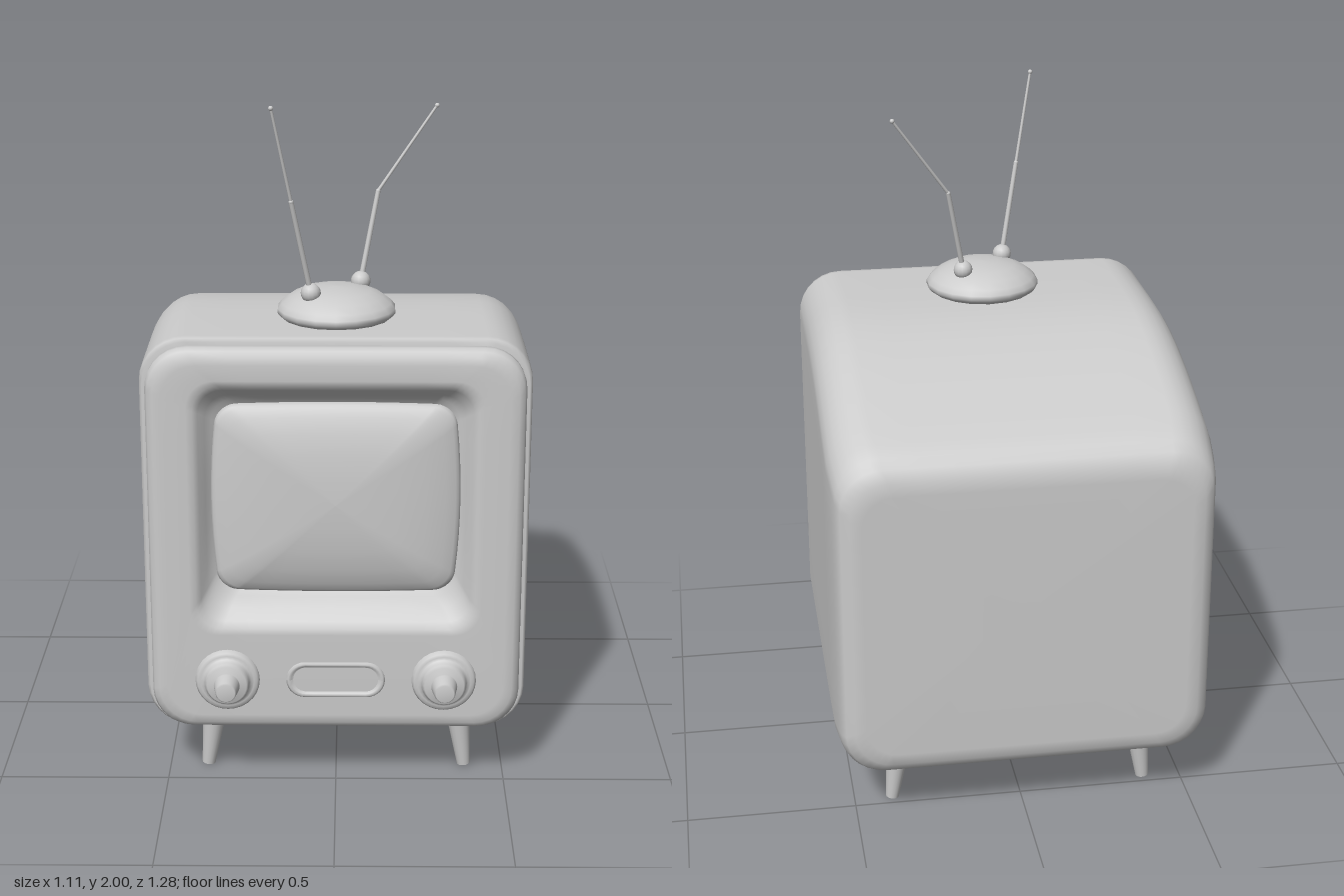
import * as THREE from 'three';

const material = new THREE.MeshStandardMaterial({ color: 0xcccccc });

function add(parent, geometry, name) {
  const mesh = new THREE.Mesh(geometry, material);
  mesh.name = name;
  parent.add(mesh);
  return mesh;
}

// Rounded rectangle in the xy plane, counter-clockwise; bulge bows the sides outward
function ring([z, hw, y0, y1, r, bulge = 0]) {
  const hh = (y1 - y0) / 2, cy = (y0 + y1) / 2, arc = 7, side = 8;
  const corners = [[1, 1], [-1, 1], [-1, -1], [1, -1]];
  const pts = [];
  corners.forEach(([sx, sy], q) => {
    for (let i = 0; i <= arc; i++) {
      const a = (q + i / arc) * Math.PI / 2;
      pts.push([sx * (hw - r) + r * Math.cos(a), sy * (hh - r) + r * Math.sin(a)]);
    }
    const [nx, ny] = corners[(q + 1) % 4], a = (q + 1) * Math.PI / 2;
    const end = [nx * (hw - r) + r * Math.cos(a), ny * (hh - r) + r * Math.sin(a)];
    const start = pts[pts.length - 1];
    for (let i = 1; i < side; i++) {
      const t = i / side;
      pts.push([start[0] + (end[0] - start[0]) * t, start[1] + (end[1] - start[1]) * t]);
    }
  });
  return pts.map(([x, y]) => {
    const u = hw ? x / hw : 0, v = hh ? y / hh : 0;
    return [x * (1 + bulge * (1 - v * v)), cy + y * (1 + bulge * 0.5 * (1 - u * u)), z];
  });
}

// Skin through rings listed from back to front (or from outside to inside)
function loft(specs) {
  const rings = specs.map(ring), n = rings[0].length, index = [];
  for (let i = 0; i < rings.length - 1; i++) {
    for (let j = 0; j < n; j++) {
      const k = (j + 1) % n, a = i * n + j, b = i * n + k;
      index.push(a, b, a + n, b, b + n, a + n);
    }
  }
  const g = new THREE.BufferGeometry();
  g.setAttribute('position', new THREE.Float32BufferAttribute(rings.flat(2), 3));
  g.setIndex(index);
  g.computeVertexNormals();
  return g;
}

function lathe(points, segments) {
  return new THREE.LatheGeometry(points.map(p => new THREE.Vector2(...p)), segments);
}

// Tapered round bar between two points
function bar(parent, from, to, r0, r1, name, sides = 8) {
  const a = new THREE.Vector3(...from), b = new THREE.Vector3(...to);
  const dir = b.clone().sub(a);
  const mesh = add(parent, new THREE.CylinderGeometry(r1, r0, dir.length(), sides), name);
  mesh.position.copy(a).add(b).multiplyScalar(0.5);
  mesh.quaternion.setFromUnitVectors(new THREE.Vector3(0, 1, 0), dir.normalize());
  return mesh;
}

function ball(parent, position, r, name) {
  add(parent, new THREE.SphereGeometry(r, 14, 10), name).position.set(...position);
}

export function createModel() {
  const model = new THREE.Group();
  model.name = 'television';

  // Cabinet with a roof that slopes down to the back
  add(model, loft([
    [-0.64, 0, 0.68, 0.68, 0],
    [-0.64, 0.47, 0.25, 1.07, 0.09],
    [-0.635, 0.505, 0.215, 1.11, 0.11],
    [-0.62, 0.53, 0.19, 1.145, 0.12],
    [-0.595, 0.542, 0.175, 1.17, 0.13],
    [-0.55, 0.548, 0.167, 1.193, 0.13],
    [-0.48, 0.555, 0.165, 1.22, 0.13],
    [-0.36, 0.556, 0.165, 1.263, 0.13],
    [-0.24, 0.556, 0.165, 1.301, 0.13],
    [-0.12, 0.556, 0.165, 1.332, 0.13],
    [-0.02, 0.556, 0.165, 1.35, 0.13],
    [0.08, 0.556, 0.165, 1.36, 0.13],
    [0.2, 0.556, 0.165, 1.363, 0.13],
    [0.46, 0.556, 0.165, 1.363, 0.13],
    [0.48, 0.554, 0.167, 1.361, 0.13],
    [0.49, 0.546, 0.175, 1.353, 0.125],
    [0.49, 0.5, 0.22, 1.31, 0.1],
  ]), 'cabinet');

  // Front panel with rounded rim and sloping screen recess
  add(model, loft([
    [0.485, 0.528, 0.19, 1.337, 0.115],
    [0.495, 0.536, 0.182, 1.345, 0.12],
    [0.515, 0.536, 0.182, 1.345, 0.12],
    [0.531, 0.529, 0.19, 1.338, 0.118],
    [0.541, 0.514, 0.205, 1.323, 0.11],
    [0.545, 0.49, 0.23, 1.3, 0.1],
    [0.545, 0.42, 0.485, 1.255, 0.08],
    [0.541, 0.402, 0.503, 1.24, 0.075],
    [0.53, 0.388, 0.522, 1.225, 0.07],
    [0.505, 0.368, 0.555, 1.203, 0.065, 0.01],
    [0.49, 0.348, 0.588, 1.186, 0.06, 0.03],
    [0.478, 0.33, 0.61, 1.165, 0.06, 0.05],
  ]), 'frontPanel');

  // Bulging picture tube
  const screen = [[0.47, 1.0], [0.488, 1.0], [0.497, 0.985], [0.503, 0.96], [0.515, 0.88],
    [0.53, 0.72], [0.541, 0.5], [0.547, 0.25], [0.549, 0]];
  add(model, loft(screen.map(([z, s]) =>
    [z, 0.338 * s, 0.888 - 0.28 * s, 0.888 + 0.28 * s, 0.055 * s, 0.055])), 'screen');

  // Pill-shaped control plate with a raised rim
  const plate = [[0.535, 0.144, 0.055], [0.548, 0.144, 0.055], [0.552, 0.138, 0.05],
    [0.551, 0.13, 0.043], [0.543, 0.122, 0.037], [0.541, 0.1, 0.02], [0.541, 0, 0]];
  add(model, loft(plate.map(([z, w, h]) => [z, w, 0.345 - h, 0.345 + h, h])), 'controlPlate');

  // Stepped knobs
  const knobProfile = [[0.094, 0], [0.094, 0.012], [0.087, 0.021], [0.078, 0.021], [0.07, 0.024],
    [0.064, 0.032], [0.063, 0.044], [0.057, 0.05], [0.038, 0.052], [0.037, 0.056],
    [0.03, 0.098], [0.026, 0.103], [0, 0.103]];
  for (const side of [1, -1]) {
    const knob = add(model, lathe(knobProfile, 28), side > 0 ? 'leftKnob' : 'rightKnob');
    knob.rotation.x = Math.PI / 2;
    knob.position.set(side * 0.315, 0.345, 0.537);
  }

  // Four splayed legs
  for (const side of [1, -1]) {
    for (const [z, place] of [[0.4, 'front'], [-0.463, 'back']]) {
      bar(model, [side * 0.364, 0.18, z], [side * 0.386, 0.001, z], 0.036, 0.02,
        place + (side > 0 ? 'LeftLeg' : 'RightLeg'), 16);
    }
  }

  // Antenna on a domed base
  const antenna = new THREE.Group();
  antenna.name = 'antenna';
  model.add(antenna);
  const dome = add(antenna, lathe([[0.155, 0], [0.165, 0.008], [0.173, 0.018], [0.172, 0.03], [0.16, 0.045],
    [0.135, 0.064], [0.1, 0.08], [0.05, 0.09], [0, 0.092]], 18), 'antennaBase');
  dome.position.set(0, 1.36, 0.243);

  const rods = [
    [[-0.073, 1.448, 0.312], [-0.126, 1.724, 0.366], [-0.178, 1.995, 0.418]],
    [[0.07, 1.448, 0.17], [0.12, 1.705, 0.122], [0.29, 1.945, 0.066]],
  ];
  rods.forEach(([foot, joint, tip], i) => {
    const name = i ? 'leftAntenna' : 'rightAntenna';
    ball(antenna, foot, 0.029, name + 'Pivot');
    bar(antenna, foot, joint, 0.008, 0.007, name + 'LowerRod');
    bar(antenna, joint, tip, 0.005, 0.004, name + 'UpperRod');
    ball(antenna, joint, 0.007, name + 'Joint');
    ball(antenna, tip, 0.007, name + 'Tip');
  });

  return model;
}
